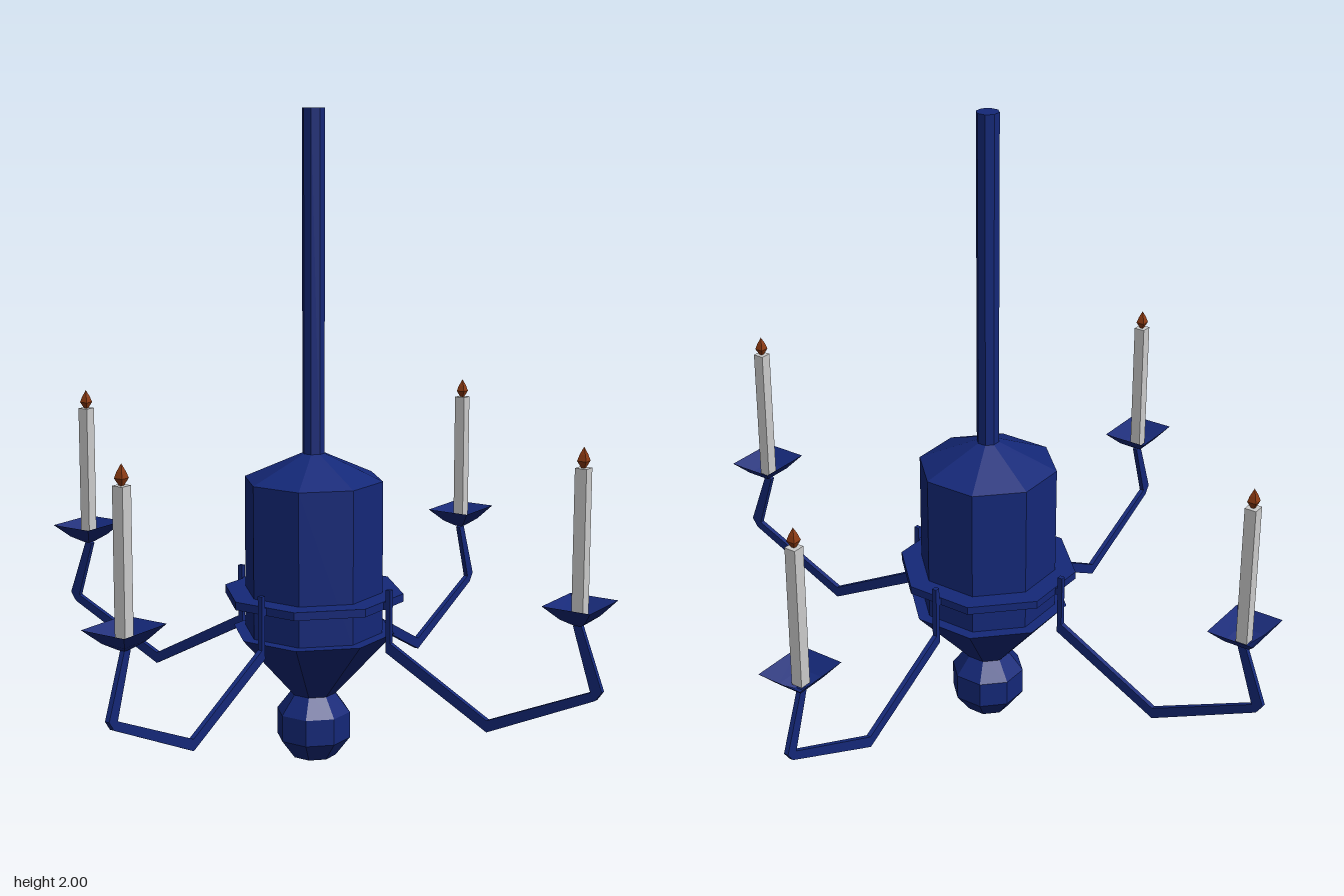
import * as THREE from 'three';

const blue = new THREE.MeshStandardMaterial({ color: 0x142878, flatShading: true });
const blueOpen = new THREE.MeshStandardMaterial({ color: 0x142878, flatShading: true, side: THREE.DoubleSide });
const wax = new THREE.MeshStandardMaterial({ color: 0xcccccc, flatShading: true });
const fire = new THREE.MeshStandardMaterial({ color: 0x8c3a12, flatShading: true });

// Faceted turned part; profile lists [half width across flats, y] from bottom to top
function turned(name, profile, sides, material) {
  const k = 1 / Math.cos(Math.PI / sides);
  const points = profile.map(([r, y]) => new THREE.Vector2(r * k, y));
  const mesh = new THREE.Mesh(new THREE.LatheGeometry(points, sides, Math.PI / sides), material);
  mesh.name = name;
  return mesh;
}

// Flat bar outline in the xy plane, given thickness across z
function plate(name, outline, depth) {
  const shape = new THREE.Shape(outline.map(([x, y]) => new THREE.Vector2(x, y)));
  const geometry = new THREE.ExtrudeGeometry(shape, { depth, bevelEnabled: false });
  geometry.translate(0, 0, -depth / 2);
  const mesh = new THREE.Mesh(geometry, blue);
  mesh.name = name;
  return mesh;
}

function createArm() {
  const arm = new THREE.Group();
  // Upright bracket, dipping arm and rising end in one outline
  arm.add(plate('armBar', [
    [0.268, 0.57], [0.268, 0.375], [0.62, 0.19], [0.968, 0.35], [0.988, 0.378],
    [0.915, 0.572], [0.893, 0.558], [0.952, 0.372], [0.62, 0.226], [0.284, 0.405], [0.284, 0.57],
  ], 0.015));
  // Peg tying the bracket to the collar
  arm.add(plate('peg', [[0.24, 0.508], [0.275, 0.508], [0.275, 0.531], [0.24, 0.531]], 0.015));
  return arm;
}

function createCandle() {
  const holder = new THREE.Group();
  const dish = turned('dripDish', [[0, 0.56], [0.012, 0.562], [0.04, 0.583], [0.075, 0.625]], 4, blueOpen);
  dish.scale.z = 1.2;
  holder.add(
    dish,
    turned('candle', [[0, 0.575], [0.018, 0.575], [0.018, 1.015], [0, 1.015]], 4, wax),
    turned('flame', [[0.004, 1.013], [0.014, 1.035], [0.009, 1.053], [0, 1.075]], 4, fire),
  );
  return holder;
}

export function createModel() {
  const model = new THREE.Group();
  model.name = 'chandelier';

  // Central column
  model.add(
    turned('ball', [[0, 0], [0.065, 0], [0.107, 0.06], [0.107, 0.143], [0.06, 0.21], [0, 0.21]], 8, blue),
    turned('lowerCone', [[0, 0.19], [0.055, 0.19], [0.235, 0.405], [0, 0.405]], 8, blue),
    turned('body', [[0, 0.4], [0.2, 0.4], [0.2, 0.88], [0.03, 0.962], [0, 0.962]], 8, blue),
    turned('collar', [[0.19, 0.507], [0.26, 0.507], [0.26, 0.532], [0.19, 0.532]], 8, blue),
    turned('pole', [[0, 0.94], [0.032, 0.94], [0.032, 2], [0, 2]], 8, blue),
  );

  // Four arms, each carrying a candle; the dishes all keep the same orientation
  for (let i = 0; i < 4; i++) {
    const angle = (i * Math.PI) / 2;
    const arm = createArm();
    arm.name = 'arm' + (i + 1);
    arm.rotation.y = angle;
    const holder = createCandle();
    holder.name = 'candleHolder' + (i + 1);
    holder.position.set(0.91 * Math.cos(angle), 0, -0.91 * Math.sin(angle));
    model.add(arm, holder);
  }
  return model;
}
